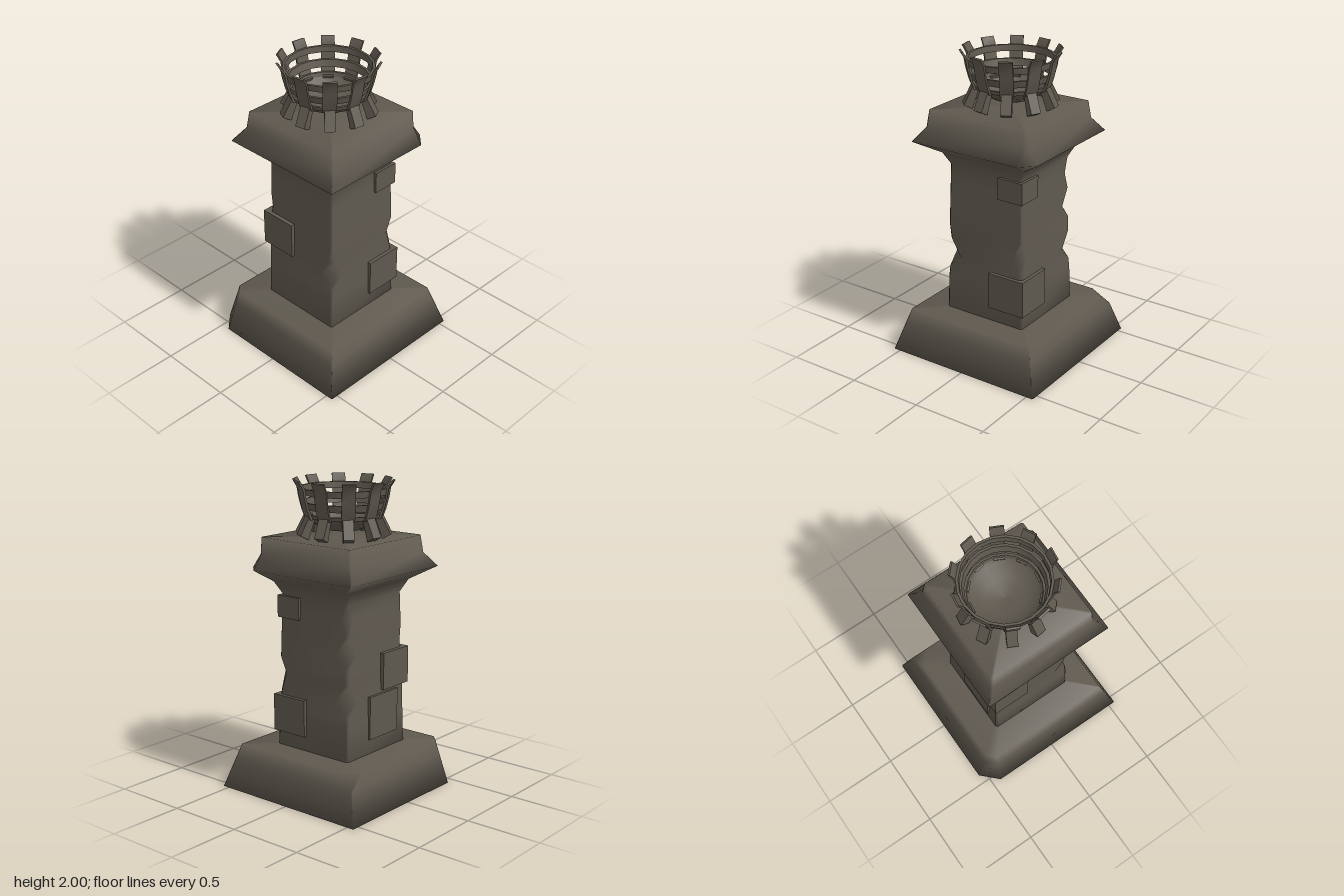
import * as THREE from 'three';
import { toCreasedNormals } from 'three/addons/utils/BufferGeometryUtils.js';

const stone = new THREE.MeshStandardMaterial({ color: 0x5f594f, side: THREE.DoubleSide });
stone.name = 'weathered stone';

function addMesh(parent, name, geometry) {
  const mesh = new THREE.Mesh(geometry, stone);
  mesh.name = name;
  parent.add(mesh);
  return mesh;
}

// Square loft: each ring is [y, half width, corner cuts for (+x+z), (+x-z), (-x-z), (-x+z)]
function squareLoft(rings) {
  const pos = [], index = [], n = 8;
  const signs = [[1, 1], [1, -1], [-1, -1], [-1, 1]];
  for (const [y, a, ...cuts] of rings) {
    signs.forEach(([sx, sz], k) => {
      const b = a - (cuts[k] ?? 0.012);
      const onZ = [sx * b, y, sz * a], onX = [sx * a, y, sz * b];
      pos.push(...(k % 2 === 0 ? [...onZ, ...onX] : [...onX, ...onZ]));
    });
  }
  const last = rings.length - 1, low = rings.length * n, high = low + 1;
  pos.push(0, rings[0][0], 0, 0, rings[last][0], 0);
  for (let j = 0; j < n; j++) {
    const k = (j + 1) % n;
    for (let i = 0; i < last; i++) {
      const a = i * n + j, b = i * n + k;
      index.push(a, b, b + n, a, b + n, a + n);
    }
    index.push(low, k, j, high, last * n + j, last * n + k);
  }
  const g = new THREE.BufferGeometry();
  g.setAttribute('position', new THREE.Float32BufferAttribute(pos, 3));
  g.setIndex(index);
  g.computeVertexNormals();
  return g;
}

// Side outline in (radius, y), extruded to a centred width
function outlineBar(points, width) {
  const shape = new THREE.Shape(points.map(([r, y]) => new THREE.Vector2(r, y)));
  const g = new THREE.ExtrudeGeometry(shape, { depth: width, bevelEnabled: false });
  g.translate(0, 0, -width / 2);
  return toCreasedNormals(g, 0.6);
}

function block(parent, name, x0, x1, y0, y1, z0, z1) {
  const g = new THREE.BoxGeometry(x1 - x0, y1 - y0, z1 - z0);
  addMesh(parent, name, g).position.set((x0 + x1) / 2, (y0 + y1) / 2, (z0 + z1) / 2);
}

export function createModel() {
  const model = new THREE.Group();
  model.name = 'stoneBrazierPillar';

  // Plinth with two chipped corners
  const e = 0.006;
  addMesh(model, 'plinth', squareLoft([
    [0, 0.548, e, e, 0.11, e],
    [0.2, 0.487, e, e, 0.07, e],
    [0.285, 0.46, e, 0.1, 0.05, e],
  ]));

  // Tapered shaft with worn corners, flaring into the collar
  const c = 0.012;
  addMesh(model, 'shaftAndCollar', squareLoft([
    [0.2, 0.294, c, c, c, c],
    [0.5, 0.287, c, c, c, c],
    [0.57, 0.285, c, 0.02, c, 0.02],
    [0.66, 0.284, 0.03, 0.1, c, 0.1],
    [0.77, 0.281, 0.06, 0.02, c, 0.03],
    [0.87, 0.279, c, 0.02, c, c],
    [0.96, 0.277, c, 0.09, 0.03, c],
    [1.07, 0.274, c, 0.02, c, c],
    [1.18, 0.271, c, 0.05, c, c],
    [1.28, 0.268, c, c, c, c],
    [1.36, 0.308, c, c, c, c],
    [1.44, 0.436, 0.09, e, e, e],
    [1.53, 0.372, 0.03, c, c, c],
    [1.64, 0.358, c, c, c, c],
  ]));

  // Protruding stones
  block(model, 'lowerFrontStone', 0.05, 0.308, 0.38, 0.622, 0.05, 0.308);
  block(model, 'upperFrontStone', 0.108, 0.286, 1.13, 1.272, 0.108, 0.286);
  block(model, 'middleBackStone', -0.305, -0.05, 0.68, 0.92, -0.305, -0.05);
  block(model, 'lowerBackStone', -0.2, 0.08, 0.38, 0.66, -0.302, -0.2);

  // Fire basket
  const basket = new THREE.Group();
  basket.name = 'fireBasket';
  basket.position.z = -0.018;
  model.add(basket);

  const bowl = [[0.001, 1.675], [0.12, 1.69], [0.2, 1.735], [0.232, 1.785]];
  addMesh(basket, 'bowl', new THREE.LatheGeometry(bowl.map(p => new THREE.Vector2(...p)), 20));

  // Three hoops: [bottom y, top y, bottom radius, top radius]
  for (const [y0, y1, r0, r1] of [[1.765, 1.79, 0.232, 0.24], [1.82, 1.865, 0.25, 0.264], [1.91, 1.95, 0.274, 0.28]]) {
    const t = 0.016;
    const ring = [[r0, y0], [r1, y1], [r1 - t, y1], [r0 - t, y0], [r0, y0]].map(p => new THREE.Vector2(...p));
    addMesh(basket, 'hoop', toCreasedNormals(new THREE.LatheGeometry(ring, 20), 0.6));
  }

  // Ten splayed legs, each carrying a curved slat
  const legShape = outlineBar([[0.25, 1.638], [0.303, 1.665], [0.243, 1.785], [0.205, 1.77]], 0.066);
  const slatShape = outlineBar([
    [0.222, 1.76], [0.24, 1.76], [0.262, 1.82], [0.28, 1.89], [0.29, 1.95], [0.318, 1.995],
    [0.306, 2], [0.277, 1.953], [0.267, 1.89], [0.25, 1.825],
  ], 0.085);
  for (let i = 0; i < 10; i++) {
    const post = new THREE.Group();
    post.name = 'basketPost';
    post.rotation.y = Math.PI / 2 - THREE.MathUtils.degToRad(8 + i * 36);
    addMesh(post, 'leg', legShape);
    addMesh(post, 'slat', slatShape);
    basket.add(post);
  }
  return model;
}
